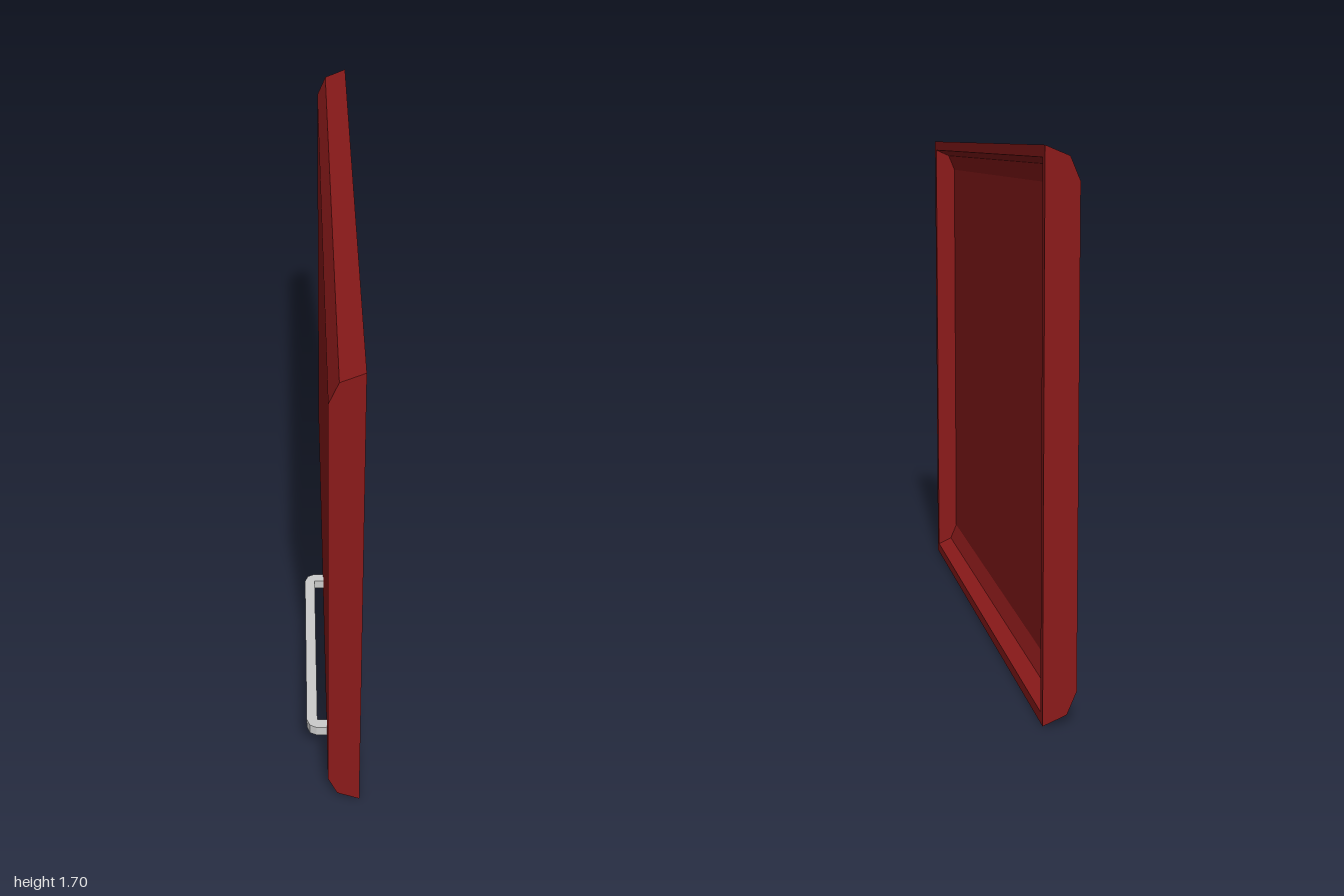
import * as THREE from 'three';

const HEIGHT = 1.695, HALF_LENGTH = 1, WALL = 0.03;

// Lower half of a chamfered profile, mirrored about mid height
const mirrored = (pts) => [...pts, ...pts.map(([x, y]) => [x, HEIGHT - y]).reverse()];
const outer = mirrored([[0.083, 0], [0.01, 0.03], [-0.02, 0.1]]);
const inner = mirrored([[0.083, 0.034], [0.033, 0.056], [0.01, 0.112]]);

function extrude(points, depth) {
  const shape = new THREE.Shape(points.map(([x, y]) => new THREE.Vector2(x, y)));
  return new THREE.ExtrudeGeometry(shape, { depth, bevelEnabled: false });
}

export function createModel() {
  const group = new THREE.Group();
  const red = new THREE.MeshStandardMaterial({ color: 0x8b1a1a, flatShading: true });
  const grey = new THREE.MeshStandardMaterial({ color: 0xcccccc, flatShading: true });
  const add = (name, geometry, material) => {
    const mesh = new THREE.Mesh(geometry, material);
    mesh.name = name;
    group.add(mesh);
    return mesh;
  };

  // Hollow panel, open towards +x
  const length = 2 * (HALF_LENGTH - WALL);
  add('panelShell', extrude([...outer, ...[...inner].reverse()], length), red).position.z = -length / 2;

  // Closed ends of the panel
  add('frontEndWall', extrude(outer, WALL), red).position.z = HALF_LENGTH - WALL;
  add('backEndWall', extrude(outer, WALL), red).position.z = -HALF_LENGTH;

  // Square-section pull handle with chamfered corners, outlined in x and z
  const mid = 0.5;
  const half = [
    [-0.015, 0.125], [-0.055, 0.125], [-0.077, 0.136], [-0.087, 0.162],
  ];
  const halfInner = [[-0.015, 0.16], [-0.052, 0.16]];
  const flip = (pts) => pts.map(([x, z]) => [x, 2 * mid - z]);
  const outline = [
    ...half, ...flip(half).reverse(),
    ...flip(halfInner), ...[...halfInner].reverse(),
  ];
  const handle = extrude(outline, 0.036);
  handle.rotateX(Math.PI / 2);
  add('handle', handle, grey).position.y = 0.206;

  return group;
}
